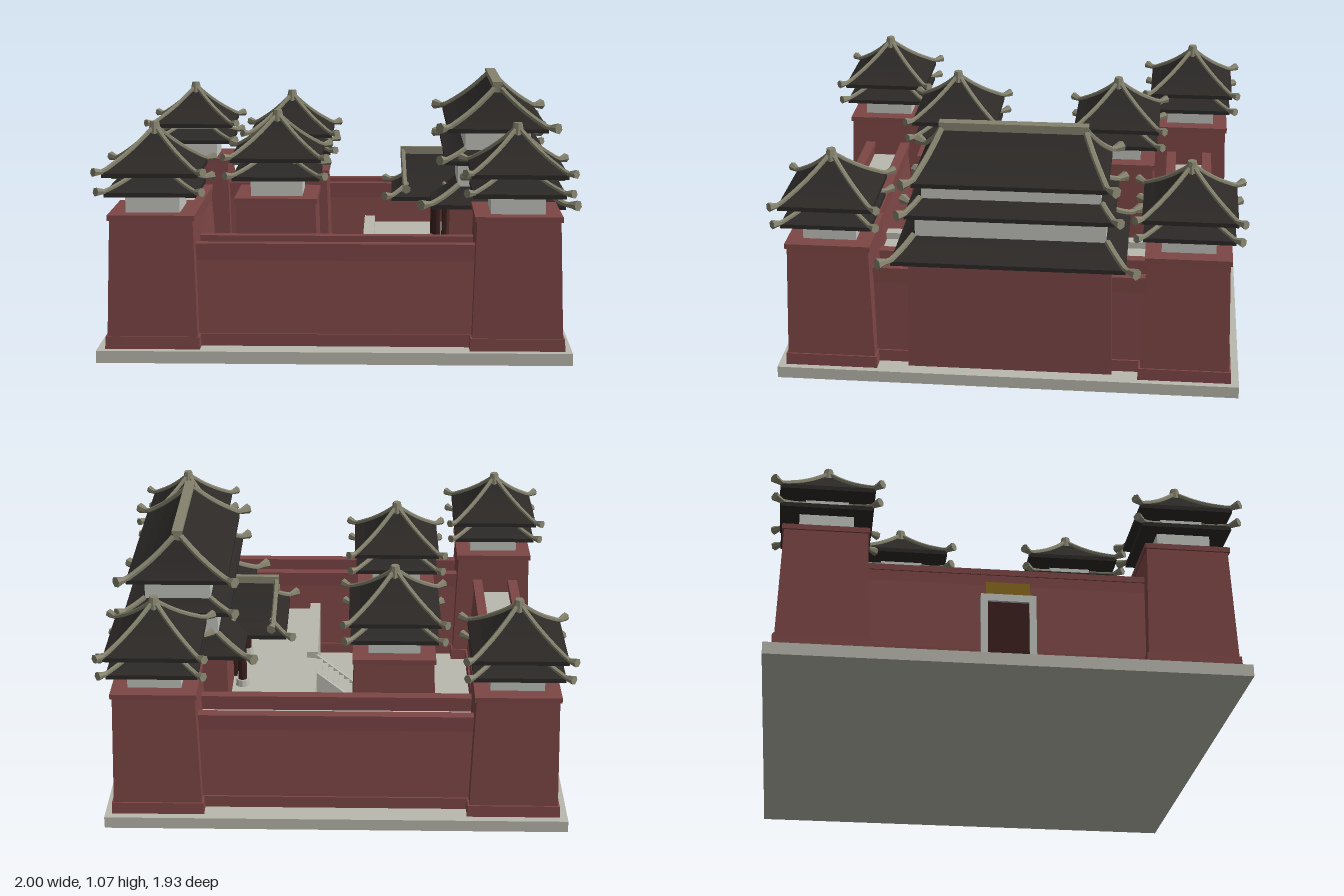
import * as THREE from 'three';

const mat = (color) => new THREE.MeshStandardMaterial({ color, flatShading: true, side: THREE.DoubleSide });
const RED = mat(0x7c4645), ROOF = mat(0x2c2927), RIDGE = mat(0x85836e), STONE = mat(0xb9b9ae);
const PLASTER = mat(0xc2c4be), WOOD = mat(0x3a201e), GOLD = mat(0x86661c);

function add(parent, name, geometry, material, x = 0, y = 0, z = 0) {
  const mesh = new THREE.Mesh(geometry, material);
  mesh.name = name;
  mesh.position.set(x, y, z);
  parent.add(mesh);
  return mesh;
}

// Box given by its extents
function box(parent, name, material, x0, x1, y0, y1, z0, z1) {
  return add(parent, name, new THREE.BoxGeometry(x1 - x0, y1 - y0, z1 - z0), material,
    (x0 + x1) / 2, (y0 + y1) / 2, (z0 + z1) / 2);
}

// Stack of rectangles [halfX, halfZ, y] joined by faces and capped on top
function loft(rings) {
  const corners = rings.map(([a, b, y]) => [[a, y, b], [a, y, -b], [-a, y, -b], [-a, y, b]]);
  const pos = [];
  const quad = (a, b, c, d) => pos.push(...a, ...b, ...c, ...a, ...c, ...d);
  for (let i = 0; i < corners.length - 1; i++) {
    for (let k = 0; k < 4; k++) {
      const n = (k + 1) % 4;
      quad(corners[i][k], corners[i][n], corners[i + 1][n], corners[i + 1][k]);
    }
  }
  quad(...corners[corners.length - 1]);
  const g = new THREE.BufferGeometry();
  g.setAttribute('position', new THREE.Float32BufferAttribute(pos, 3));
  g.computeVertexNormals();
  return g;
}

// Ridge rib along points, with a flared end at the last one
function rib(parent, points, r) {
  const path = points.map((p) => new THREE.Vector3(...p));
  add(parent, 'ridgeRib', new THREE.TubeGeometry(new THREE.CatmullRomCurve3(path), 10, r, 6), RIDGE);
  const end = path[path.length - 1];
  const dir = end.clone().sub(path[path.length - 2]).normalize();
  const tip = add(parent, 'ridgeTip', new THREE.CylinderGeometry(r * 1.9, r, 0.045, 6), RIDGE);
  tip.position.copy(end).addScaledVector(dir, -0.02);
  tip.quaternion.setFromUnitVectors(new THREE.Vector3(0, 1, 0), dir);
}

// Concave hipped roof from eave [ex, ez] at y0 to top [tx, tz] at y1
function hipRoof(parent, name, x, z, [ex, ez], y0, [tx, tz], y1, r = 0.01, reach = 0.025) {
  const roof = new THREE.Group();
  roof.name = name;
  roof.position.set(x, 0, z);
  parent.add(roof);
  const lip = 0.018, slope = [];
  for (let i = 0; i <= 4; i++) {
    const t = i / 4;
    slope.push([ex + (tx - ex) * t, ez + (tz - ez) * t, y0 + lip + (y1 - y0 - lip) * (0.65 * t + 0.35 * t * t)]);
  }
  add(roof, 'tiles', loft([[tx * 0.8, tz * 0.8, y0 + 0.012], [ex - 0.02, ez - 0.02, y0], [ex, ez, y0], ...slope]), ROOF);
  for (const sx of [-1, 1]) {
    for (const sz of [-1, 1]) {
      const pts = slope.map(([a, b, y]) => [sx * a, y + r * 0.5, sz * b]).reverse();
      pts.push([sx * (ex + reach), y0 + lip + 0.008, sz * (ez + reach)]);
      rib(roof, pts, r);
    }
  }
  return roof;
}

function tower(parent, name, x, z) {
  const g = new THREE.Group();
  g.name = name;
  g.position.set(x, 0, z);
  parent.add(g);
  add(g, 'towerBase', loft([[0.193, 0.193, 0.04], [0.19, 0.19, 0.1], [0.183, 0.183, 0.1], [0.168, 0.168, 0.575],
    [0.176, 0.176, 0.575], [0.176, 0.176, 0.597]]), RED);
  box(g, 'lowerRoom', PLASTER, -0.11, 0.11, 0.595, 0.7, -0.11, 0.11);
  hipRoof(g, 'lowerRoof', 0, 0, [0.185, 0.185], 0.672, [0.09, 0.09], 0.735);
  box(g, 'upperRoom', PLASTER, -0.088, 0.088, 0.7, 0.79, -0.088, 0.088);
  hipRoof(g, 'upperRoof', 0, 0, [0.192, 0.192], 0.752, [0.012, 0.012], 0.92);
  add(g, 'finial', new THREE.CylinderGeometry(0.018, 0.028, 0.05, 8), RIDGE, 0, 0.93, 0);
}

// Double parapet wall running along x, turned when needed
function wall(parent, name, x, z, length, turned) {
  const g = new THREE.Group();
  g.name = name;
  g.position.set(x, 0, z);
  if (turned) g.rotation.y = Math.PI / 2;
  parent.add(g);
  const h = length / 2;
  add(g, 'wallCore', loft([[h, 0.132, 0.04], [h, 0.13, 0.1], [h, 0.122, 0.1], [h, 0.1, 0.4]]), RED);
  box(g, 'walkway', STONE, -h, h, 0.39, 0.405, -0.09, 0.09);
  for (const s of [-1, 1]) {
    box(g, 'parapet', RED, -h, h, 0.38, 0.445, s * 0.084 - 0.016, s * 0.084 + 0.016);
    box(g, 'parapetCap', RED, -h, h, 0.445, 0.47, s * 0.084 - 0.022, s * 0.084 + 0.022);
  }
}

function mainHall(parent) {
  const g = new THREE.Group();
  g.name = 'mainHall';
  g.position.set(0.645, 0, -0.01);
  parent.add(g);
  add(g, 'hallBase', loft([[0.215, 0.425, 0.04], [0.205, 0.415, 0.58]]), RED);
  hipRoof(g, 'lowerRoof', 0, 0, [0.285, 0.475], 0.545, [0.17, 0.395], 0.63, 0.013, 0.045);
  box(g, 'middleStorey', PLASTER, -0.17, 0.17, 0.58, 0.75, -0.39, 0.39);
  hipRoof(g, 'middleRoof', 0, 0, [0.225, 0.425], 0.725, [0.14, 0.37], 0.785, 0.012);
  box(g, 'upperStorey', PLASTER, -0.14, 0.14, 0.75, 0.89, -0.365, 0.365);
  hipRoof(g, 'upperRoof', 0, 0, [0.215, 0.395], 0.86, [0.015, 0.295], 1.035, 0.013, 0.035);
  box(g, 'mainRidge', RIDGE, -0.016, 0.016, 1.015, 1.06, -0.3, 0.3);
  box(g, 'ridgeCap', RIDGE, -0.022, 0.022, 1.055, 1.07, -0.305, 0.305);
  box(g, 'hallDoor', WOOD, -0.225, -0.2, 0.28, 0.5, -0.1, 0.1);
}

function porch(parent) {
  const g = new THREE.Group();
  g.name = 'porch';
  g.position.set(0.34, 0, -0.03);
  parent.add(g);
  hipRoof(g, 'skirtRoof', 0, 0, [0.15, 0.215], 0.53, [0.08, 0.15], 0.595, 0.011, 0.03);
  // Gable roof with its ridge along x
  const s = new THREE.Shape();
  s.moveTo(-0.2, 0.57);
  s.quadraticCurveTo(-0.09, 0.61, 0, 0.72);
  s.quadraticCurveTo(0.09, 0.61, 0.2, 0.57);
  s.closePath();
  const gable = new THREE.ExtrudeGeometry(s, { depth: 0.25, bevelEnabled: false, curveSegments: 6 });
  add(g, 'gableRoof', gable.rotateY(Math.PI / 2), ROOF, -0.09);
  for (const k of [-1, 1]) {
    rib(g, [[-0.1, 0.73, 0], [-0.095, 0.645, k * 0.09], [-0.09, 0.59, k * 0.18], [-0.085, 0.585, k * 0.23]], 0.011);
    add(g, 'column', new THREE.CylinderGeometry(0.02, 0.02, 0.3, 10), WOOD, 0.05, 0.42, k * 0.16);
    add(g, 'columnFoot', new THREE.CylinderGeometry(0.028, 0.032, 0.03, 10), STONE, 0.05, 0.295, k * 0.16);
  }
  box(g, 'beam', WOOD, 0.035, 0.065, 0.515, 0.55, -0.18, 0.18);
  box(g, 'porchRidge', RIDGE, -0.11, 0.16, 0.71, 0.742, -0.013, 0.013);
}

function courtyard(parent) {
  const g = new THREE.Group();
  g.name = 'courtyard';
  parent.add(g);
  box(g, 'terrace', STONE, 0.06, 0.6, 0.04, 0.28, -0.64, 0.64);
  for (const [z0, z1] of [[-0.64, -0.1], [0.08, 0.64]]) box(g, 'terraceCurb', STONE, 0.06, 0.11, 0.28, 0.31, z0, z1);
  const n = 11;
  for (let i = 0; i < n; i++) {
    box(g, 'step', STONE, -0.21 + (0.27 * i) / n, 0.065, 0.04, 0.05 + (0.23 * (i + 1)) / n, -0.09, 0.07);
  }
  // Sloping stair sides
  const s = new THREE.Shape([[-0.22, 0.04], [0.065, 0.04], [0.065, 0.3], [-0.22, 0.07]].map((p) => new THREE.Vector2(...p)));
  for (const z of [-0.105, 0.07]) {
    add(g, 'stairSide', new THREE.ExtrudeGeometry(s, { depth: 0.015, bevelEnabled: false }), STONE, 0, 0, z);
  }
}

function gate(parent) {
  const g = new THREE.Group();
  g.name = 'gate';
  parent.add(g);
  box(g, 'door', WOOD, -0.918, -0.8, 0.05, 0.32, -0.085, 0.085);
  for (const s of [-1, 1]) box(g, 'doorPost', PLASTER, -0.93, -0.85, 0.05, 0.32, s * 0.097 - 0.014, s * 0.097 + 0.014);
  box(g, 'lintel', PLASTER, -0.93, -0.85, 0.31, 0.34, -0.111, 0.111);
  box(g, 'plaque', GOLD, -0.905, -0.86, 0.35, 0.405, -0.09, 0.09);
}

export function createModel() {
  const model = new THREE.Group();
  model.name = 'walledPalace';
  box(model, 'groundSlab', STONE, -1, 0.92, 0, 0.05, -0.96, 0.96);

  for (const z of [-0.735, 0.735]) {
    for (const x of [-0.775, 0.7]) tower(model, 'cornerTower', x, z);
    wall(model, 'longWall', -0.035, z, 1.4, false);
  }
  for (const x of [-0.785, 0.695]) wall(model, 'sideWall', x, 0, 1.4, true);

  tower(model, 'innerTower', -0.28, -0.4);
  tower(model, 'innerTower', -0.3, 0.34);

  courtyard(model);
  mainHall(model);
  porch(model);
  gate(model);
  return model;
}
